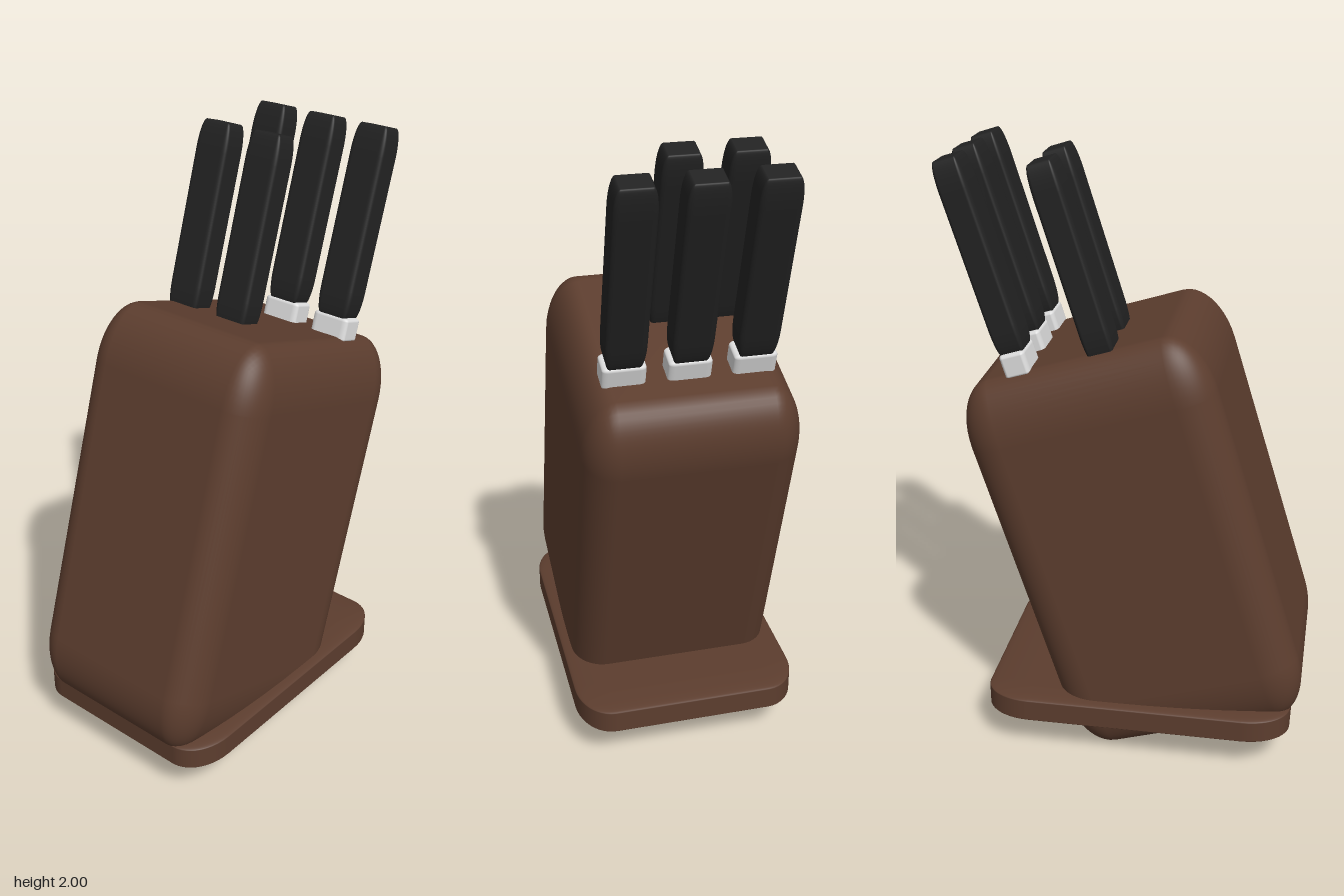
import * as THREE from 'three';
import { RoundedBoxGeometry } from 'three/addons/geometries/RoundedBoxGeometry.js';

const TILT = -0.3; // everything but the base leans back by this angle

export function createModel() {
  const wood = new THREE.MeshStandardMaterial({ color: 0x5c3d2e });
  wood.name = 'brown wood';
  const black = new THREE.MeshStandardMaterial({ color: 0x222222 });
  black.name = 'black handle';
  const steel = new THREE.MeshStandardMaterial({ color: 0xdcdcdc });
  steel.name = 'pale steel';

  const model = new THREE.Group();
  model.name = 'knifeBlock';

  // A soft box whose rounding stretches with its proportions
  const softBox = (name, size, position, material, parent) => {
    const geometry = new RoundedBoxGeometry(1, 1, 1, 6, 0.15);
    geometry.scale(...size);
    const mesh = new THREE.Mesh(geometry, material);
    mesh.name = name;
    mesh.position.set(...position);
    parent.add(mesh);
    return mesh;
  };

  // Leaning block and the flat base it passes through
  const block = softBox('block', [0.68, 1.37, 0.82], [0, 0.742, 0.032], wood, model);
  block.rotation.x = TILT;
  softBox('base', [0.74, 0.1, 1.03], [0, 0.17, 0.035], wood, model);

  // Knives: a handle with a steel bolster below it
  const addKnife = (name, x, z) => {
    const knife = new THREE.Group();
    knife.name = name;
    knife.position.set(x, 1.695, z);
    knife.rotation.x = TILT;
    softBox(name + 'Handle', [0.126, 0.62, 0.094], [0, 0, 0], black, knife);
    softBox(name + 'Bolster', [0.134, 0.08, 0.084], [0, -0.342, 0], steel, knife);
    model.add(knife);
  };
  [-0.2, 0, 0.2].forEach((x, i) => addKnife('backKnife' + (i + 1), x, -0.45));
  [-0.2, 0].forEach((x, i) => addKnife('frontKnife' + (i + 1), x, -0.167));

  return model;
}
